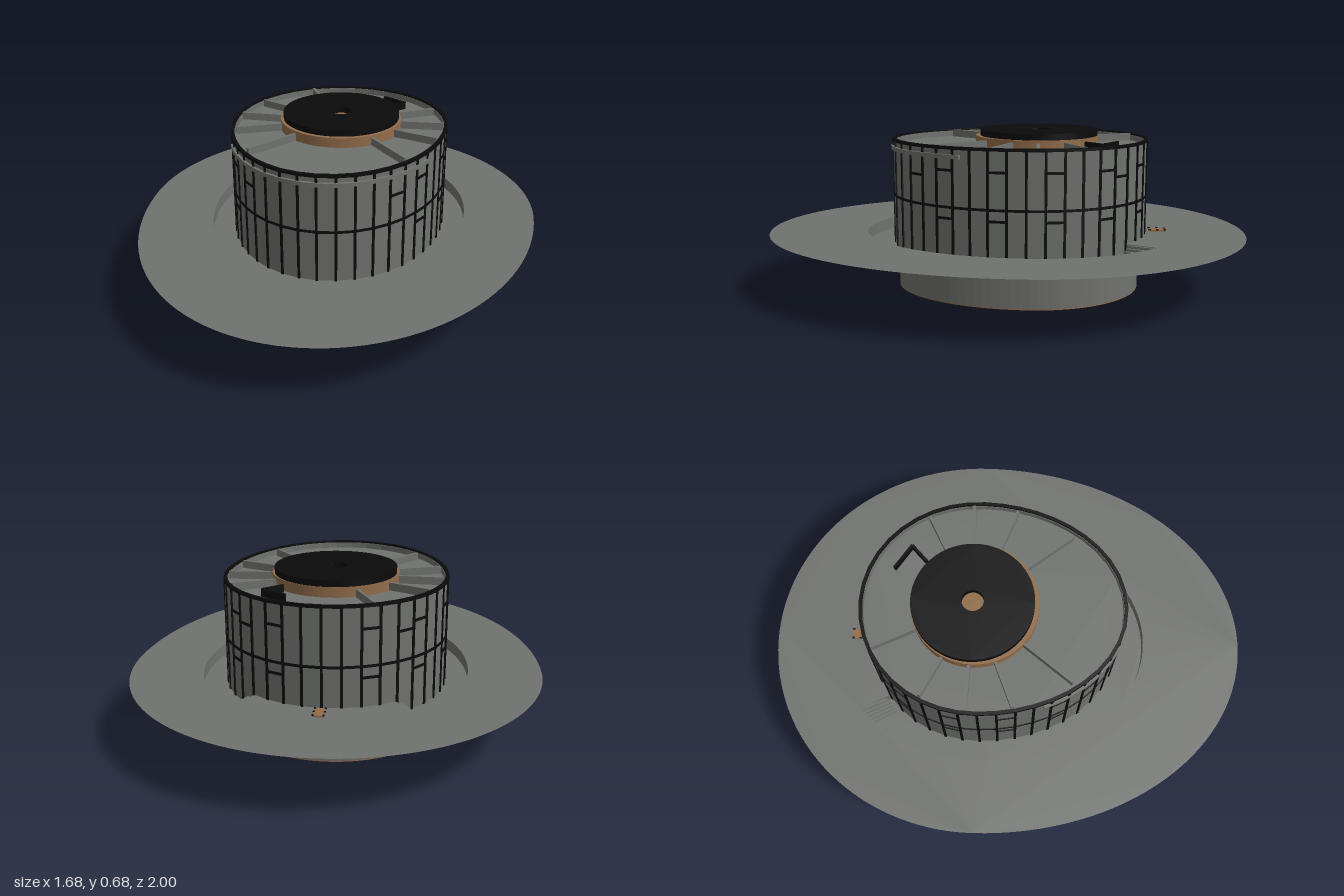
import * as THREE from 'three';

const mat = (name, color, side = THREE.FrontSide) => {
  const m = new THREE.MeshStandardMaterial({ color, side });
  m.name = name;
  return m;
};

// Egg plan: half width, back length, front length, measured from z = CZ
const CZ = -0.12;
const PLATE = [0.84, 0.88, 1.12], MOAT = [0.545, 0.62, 0.71];
const DRUM = [0.448, 0.467, 0.592], BASE = [0.43, 0.44, 0.577];
const grow = (e, d) => e.map(v => v + d);
const egg = ([rx, back, front], t) =>
  new THREE.Vector2(rx * Math.sin(t), CZ + (Math.cos(t) > 0 ? front : back) * Math.cos(t));

function arc(e, t1, t2, n) {
  return Array.from({ length: n + 1 }, (_, i) => egg(e, t1 + (t2 - t1) * i / n));
}

// Angles that divide the drum outline into equal bays
const BAYS = 42;
const bayAngles = (() => {
  const fine = arc(DRUM, 0, Math.PI * 2, 2000), len = [0], out = [];
  for (let i = 1; i < fine.length; i++) len.push(len[i - 1] + fine[i].distanceTo(fine[i - 1]));
  for (let b = 0, i = 0; b < BAYS; b++) {
    while (len[i] < len[2000] * b / BAYS) i++;
    out.push(i / 2000 * Math.PI * 2);
  }
  return out;
})();
const bayed = e => bayAngles.map(t => egg(e, t));
const round = (e, n = 96) => arc(e, 0, Math.PI * 2, n).slice(0, n);

// Plan points are (x, z); the shape uses (x, -z) so it can be laid flat
const flip = pts => pts.map(p => new THREE.Vector2(p.x, -p.y));
function planShape(pts, hole) {
  const s = new THREE.Shape(flip(pts));
  if (hole) s.holes.push(new THREE.Path(flip(hole)));
  return s;
}
function slab(pts, y0, y1, hole) {
  const g = new THREE.ExtrudeGeometry(planShape(pts, hole), { depth: y1 - y0, bevelEnabled: false });
  return g.rotateX(-Math.PI / 2).translate(0, y0, 0);
}
const sheet = (pts, y, hole) =>
  new THREE.ShapeGeometry(planShape(pts, hole)).rotateX(-Math.PI / 2).translate(0, y, 0);
const sector = (outer, inner, t1, t2, n) => [...arc(outer, t1, t2, n), ...arc(inner, t2, t1, n)];

export function createModel() {
  const grey = mat('concrete grey', 0x70726f);
  const ground = mat('ground grey', 0x70726f, THREE.DoubleSide);
  const black = mat('black', 0x0b0b0b);
  const brown = mat('wood brown', 0x916c4a);
  const pale = mat('pale metal', 0xb0b2b0);

  const root = new THREE.Group();
  root.name = 'roundBuilding';
  const add = (name, geo, m, parent = root) => {
    const mesh = new THREE.Mesh(geo, m);
    mesh.name = name;
    parent.add(mesh);
    return mesh;
  };
  const group = name => {
    const g = new THREE.Group();
    g.name = name;
    root.add(g);
    return g;
  };
  // Upright box spanning two plan points
  const bar = (name, a, b, y0, y1, thick, m, parent) => {
    const mesh = add(name, new THREE.BoxGeometry(a.distanceTo(b), y1 - y0, thick), m, parent);
    mesh.position.set((a.x + b.x) / 2, (y0 + y1) / 2, (a.y + b.y) / 2);
    mesh.rotation.y = -Math.atan2(b.y - a.y, b.x - a.x);
    return mesh;
  };

  // Ground sheet with the sunken walk cut out of it
  const T = 2.49, inner = grow(DRUM, -0.01);
  add('ground', sheet(round(PLATE, 128), 0.25,
    [...arc(MOAT, -T, T, 80), ...arc(inner, T, Math.PI * 2 - T, 24)]), ground);
  add('moatFloor', sheet(sector(MOAT, inner, -T, T, 80), 0.2), ground);
  add('moatWall', slab(sector(grow(MOAT, 0.002), grow(MOAT, -0.002), -T, T, 80), 0.2, 0.25), grey);

  // Stairs at both ends of the sunken walk
  const stairs = group('stairs');
  for (const s of [-1, 1]) {
    for (let i = 0; i < 5; i++) {
      const t = [s * (T - 0.13 + i * 0.026), s * (T - 0.104 + i * 0.026)].sort((a, b) => a - b);
      add('step', slab(sector(grow(MOAT, -0.003), grow(DRUM, 0.02), t[0], t[1], 2), 0.2, 0.208 + i * 0.01),
        grey, stairs);
    }
    const e = [s * (T - 0.004), s * T].sort((a, b) => a - b);
    add('endWall', slab(sector(MOAT, inner, e[0], e[1], 1), 0.2, 0.25), grey, stairs);
  }

  // Plinth below ground
  add('plinth', slab(round(BASE), 0.022, 0.19), grey);
  add('plinthBottom', slab(round(BASE), 0.018, 0.022), brown);
  for (const [x, z] of [[0.1, -0.255], [-0.108, -0.005]]) {
    add('foot', new THREE.CylinderGeometry(0.038, 0.038, 0.02, 24), pale).position.set(x, 0.01, z);
  }
  add('bottomHatch', new THREE.CylinderGeometry(0.045, 0.045, 0.004, 24), pale).position.set(-0.05, 0.017, -0.45);

  // Panelled drum wall, floor and recessed roof
  add('drumWall', slab(bayed(DRUM), 0.18, 0.638, bayed(grow(DRUM, -0.012))), grey);
  add('drumFloor', slab(bayed(grow(DRUM, -0.005)), 0.181, 0.195), grey);
  add('roof', slab(bayed(grow(DRUM, -0.006)), 0.598, 0.614), grey);
  add('frontLedge', slab(sector(grow(DRUM, 0.01), grow(DRUM, -0.005), -1.1, 1.1, 30), 0.598, 0.614), grey);

  // Black joints: rings, uprights and short transoms
  const joints = group('joints');
  const out = grow(DRUM, 0.004), cut = bayed(grow(DRUM, -0.004));
  add('middleRing', slab(bayed(out), 0.404, 0.414, cut), black, joints);
  add('bottomRing', slab(bayed(grow(DRUM, 0.002)), 0.178, 0.186, cut), black, joints);
  add('topRim', slab(bayed(out), 0.633, 0.645, bayed(grow(DRUM, -0.01))), black, joints);
  const pts = bayed(DRUM);
  pts.forEach((p, i) => {
    const a = pts[(i + BAYS - 1) % BAYS], b = pts[(i + 1) % BAYS];
    const d = b.clone().sub(a).normalize().multiplyScalar(0.005);
    bar('upright', p.clone().sub(d), p.clone().add(d), 0.182, 0.638, 0.009, black, joints);
  });
  const transom = (i, y) => {
    for (const k of [i, BAYS - 1 - i]) {
      bar('transom', pts[k], pts[(k + 1) % BAYS], y - 0.005, y + 0.005, 0.008, black, joints);
    }
  };
  transom(4, 0.525);
  transom(16, 0.525);
  for (const i of [6, 9, 12, 15, 18]) {
    transom(i, 0.553);
    transom(i, 0.365);
  }

  // Round roof light: wooden curb with a black ring lid
  add('curb', new THREE.CylinderGeometry(0.255, 0.255, 0.043, 64), brown).position.set(0, 0.6335, -0.13);
  const ringPts = r => Array.from({ length: 64 }, (_, i) => new THREE.Vector2(
    r * Math.sin(i * Math.PI / 32), -0.138 + r * Math.cos(i * Math.PI / 32)));
  add('lid', slab(ringPts(0.245), 0.654, 0.68, ringPts(0.044)), black);

  // Radial roof fins
  const fins = group('roofFins');
  const hub = new THREE.Vector2(0, -0.135);
  for (const s of [-1, 1]) {
    for (const [x, z] of [[0.19, -0.53], [0.38, -0.33], [0.435, -0.15], [0.415, 0.03], [0.31, 0.26]]) {
      if (s > 0 && z < -0.5) continue;
      const tip = new THREE.Vector2(s * x, z);
      const start = tip.clone().sub(hub).setLength(0.25).add(hub);
      bar('fin', start, tip, 0.61, 0.645, 0.012, grey, fins);
    }
  }

  // Roof stair enclosure
  const hatch = group('roofHatch');
  const corner = new THREE.Vector2(0.25, -0.395);
  bar('hatchBack', new THREE.Vector2(0.15, -0.46), corner, 0.612, 0.645, 0.01, black, hatch);
  bar('hatchSide', corner, new THREE.Vector2(0.18, -0.33), 0.612, 0.645, 0.01, black, hatch);

  // Entrance mat with dark studs
  add('entranceMat', new THREE.BoxGeometry(0.042, 0.006, 0.07), brown).position.set(0, 0.254, -0.64);
  for (const x of [-0.02, 0.02]) for (const z of [-0.672, -0.64, -0.608]) {
    add('matStud', new THREE.BoxGeometry(0.007, 0.004, 0.01), black).position.set(x, 0.258, z);
  }
  return root;
}
